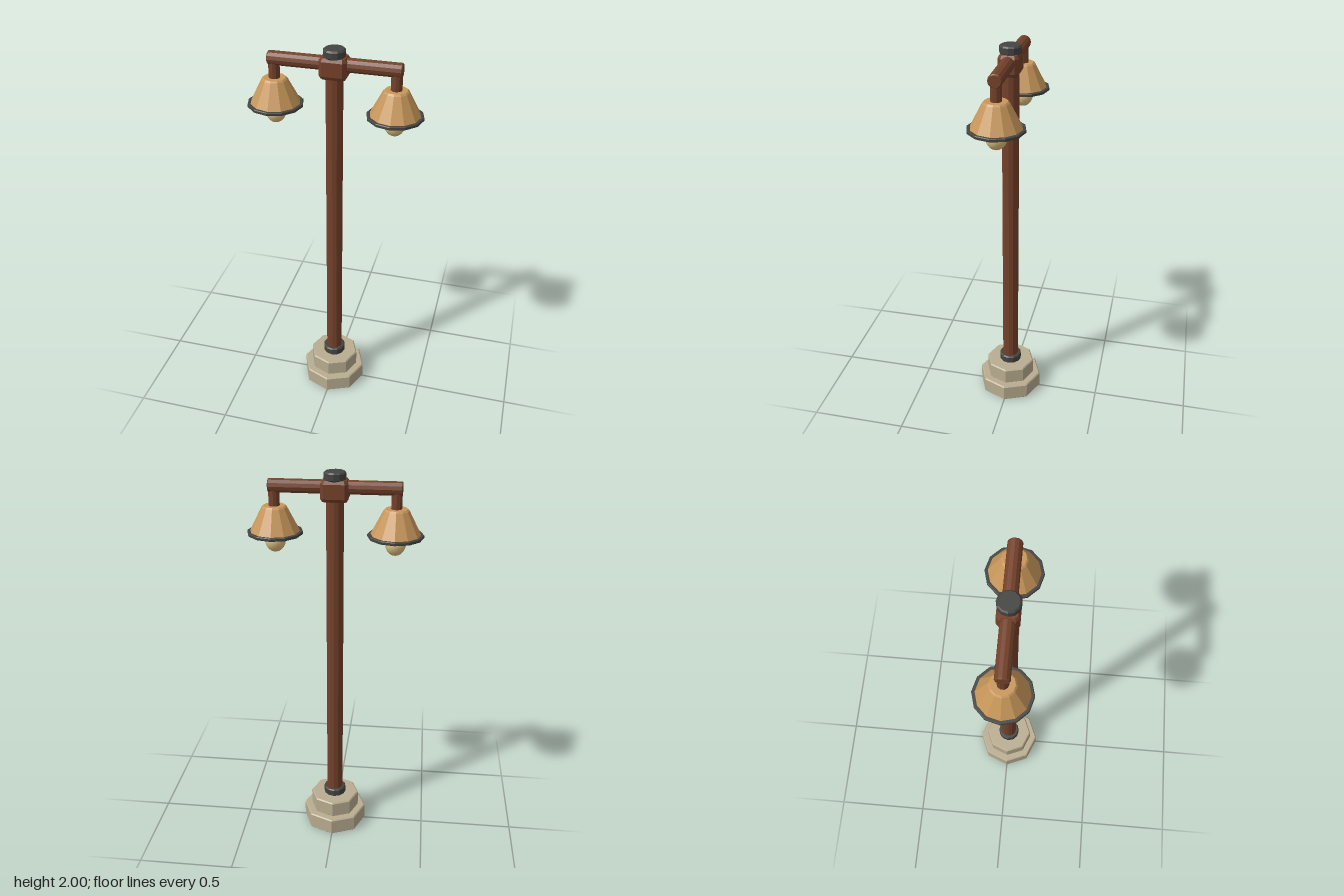
import * as THREE from 'three';

const material = (color, flatShading = true) => new THREE.MeshStandardMaterial({ color, flatShading });

export function createModel() {
  const model = new THREE.Group();
  const stone = material(0xb9ad90);
  const wood = material(0x74412a);
  const iron = material(0x444442);
  const brass = material(0xc8975a);
  const glass = material(0xe2c483, false);

  const add = (name, geometry, mat, parent = model) => {
    const mesh = new THREE.Mesh(geometry, mat);
    mesh.name = name;
    parent.add(mesh);
    return mesh;
  };
  const lathe = (points, sides) =>
    new THREE.LatheGeometry(points.map(([r, y]) => new THREE.Vector2(r, y)), sides);
  // Closed many-sided drum with small bevels on both rims
  const drum = (r, y0, y1, sides, b = 0.006) => lathe(
    [[0, y0], [r - b, y0], [r, y0 + b], [r, y1 - b], [r - b, y1], [0, y1]], sides);

  // Stepped stone foot and post
  add('baseLower', drum(0.172, 0, 0.092, 8), stone);
  add('baseUpper', drum(0.132, 0.088, 0.18, 8), stone);
  add('postCollar', drum(0.06, 0.175, 0.22, 12), iron);
  add('post', drum(0.043, 0.2, 1.9, 12, 0.002), wood);

  // Hub: chamfered block, narrowing towards its ends
  const w = 0.058, d = 0.042, c = 0.012;
  const outline = new THREE.Shape([
    [-w, -d + c], [-w + c, -d], [w - c, -d], [w, -d + c],
    [w, d - c], [w - c, d], [-w + c, d], [-w, d - c],
  ].map(([x, y]) => new THREE.Vector2(x, y)));
  const hub = new THREE.ExtrudeGeometry(outline, {
    depth: 0.07, bevelEnabled: true, bevelSegments: 1, bevelSize: 0.009, bevelThickness: 0.016,
  });
  hub.rotateX(-Math.PI / 2).translate(0, 1.877, 0);
  add('hub', hub, wood);
  add('cap', drum(0.054, 1.958, 2, 12, 0.007), iron);

  // Crossbar
  const bar = drum(0.034, -0.32, 0.32, 12, 0.005);
  bar.rotateZ(Math.PI / 2).translate(0, 1.926, 0);
  add('crossbar', bar, wood);

  // Hanging lamps, one at each end
  for (const side of [-1, 1]) {
    const lamp = new THREE.Group();
    lamp.name = side > 0 ? 'leftLamp' : 'rightLamp';
    lamp.position.x = side * 0.293;
    model.add(lamp);
    add('hanger', drum(0.027, 1.82, 1.92, 10, 0.002), wood, lamp);
    add('shade', lathe([[0, 1.7], [0.125, 1.7], [0.062, 1.822], [0.054, 1.83], [0, 1.83]], 12), brass, lamp);
    add('shadeRim', drum(0.137, 1.69, 1.706, 12, 0.003), iron, lamp);
    // Rounded bulb with a short straight neck
    const profile = [];
    for (let i = 0; i <= 8; i++) {
      const a = (i / 8) * Math.PI / 2;
      profile.push([0.052 * Math.sin(a), 1.662 - 0.062 * Math.cos(a)]);
    }
    profile.push([0.048, 1.695]);
    add('bulb', lathe(profile, 16), glass, lamp);
  }
  return model;
}
